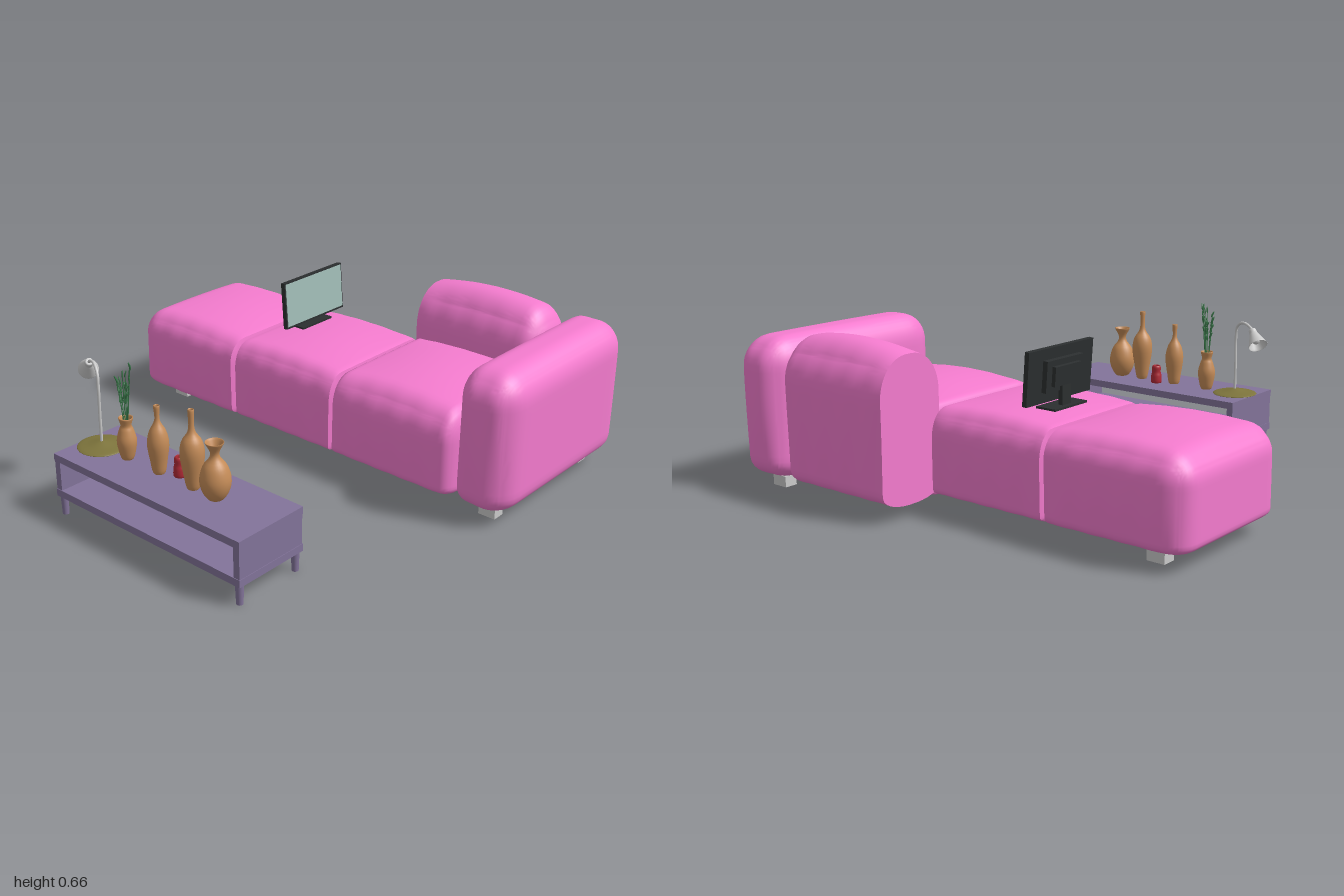
import * as THREE from 'three';
import { toCreasedNormals } from 'three/addons/utils/BufferGeometryUtils.js';

const mat = (color) => new THREE.MeshStandardMaterial({ color, side: THREE.DoubleSide });
const V = (x, y, z) => new THREE.Vector3(x, y, z);

export function createModel() {
  const model = new THREE.Group();
  const pink = mat(0xf57ccf), wood = mat(0x83749a), clay = mat(0xc58c58), grey = mat(0xcccccc);
  const black = mat(0x2c2f30), glass = mat(0xa2bdb8), olive = mat(0x7d743c), red = mat(0xb02a36);
  const green = mat(0x3c7a4c);

  function add(name, geo, material, x = 0, y = 0, z = 0, parent = model) {
    const m = new THREE.Mesh(geo, material);
    m.name = name;
    m.position.set(x, y, z);
    parent.add(m);
    return m;
  }
  const box = (name, w, h, d, material, x, y, z, parent) =>
    add(name, new THREE.BoxGeometry(w, h, d), material, x, y, z, parent);
  const lathe = (name, pts, material, x, y, z, parent) =>
    add(name, new THREE.LatheGeometry(new THREE.SplineCurve(
      pts.map((p) => new THREE.Vector2(...p))).getPoints(32), 28), material, x, y, z, parent);

  // Stuffed block: each side has its own rounding radius (0 leaves it cut flat); crown puffs the top
  function cushion(name, min, max, radii, crown = 0, bulge = 0.01) {
    const geo = new THREE.BoxGeometry(2, 2, 2, 24, 24, 24);
    const pos = geo.attributes.position;
    for (let i = 0; i < pos.count; i++) {
      const u = [pos.getX(i), pos.getY(i), pos.getZ(i)].map((t) => 0.35 * t + 0.65 * Math.sin(t * Math.PI / 2));
      const base = [], d = [], rad = [];
      for (let a = 0; a < 3; a++) {
        const p = min[a] + (u[a] + 1) / 2 * (max[a] - min[a]);
        const lo = min[a] + radii[a][0], hi = max[a] - radii[a][1];
        base[a] = Math.min(Math.max(p, lo), hi);
        rad[a] = p < lo ? radii[a][0] : radii[a][1];
        d[a] = rad[a] > 0 ? (p - base[a]) / rad[a] : 0;
      }
      const len = Math.hypot(...d);
      const k = len > 0 ? Math.max(...d.map(Math.abs)) / len : 0;
      const q = base.map((b, a) => b + d[a] * k * rad[a]);
      const [fx, fy, fz] = u.map((t) => 1 - t * t);
      q[1] += crown * Math.max(u[1], 0) * (0.3 + 0.7 * fx) * fz;
      q[0] += bulge * u[0] * fy * fz + 0.002 * u[0] * Math.sin(q[2] * 50 + q[1] * 8);
      pos.setXYZ(i, ...q);
    }
    geo.deleteAttribute('uv');
    return add(name, toCreasedNormals(geo, 1), pink);
  }

  // Sofa
  cushion('backCushion', [0.04, 0.05, 0.745], [0.925, 0.625, 1],
    [[0.12, 0.12], [0.08, 0.12], [0.09, 0.11]], 0.005, 0.01);
  cushion('armCushion', [0.62, 0.055, 0.155], [0.925, 0.632, 0.75],
    [[0.14, 0.14], [0.06, 0.16], [0, 0.1]], 0.032, 0.008);
  cushion('innerSeat', [0.045, 0.055, 0.152], [0.68, 0.41, 0.75],
    [[0.1, 0.04], [0.04, 0.12], [0.015, 0.05]], 0.035);
  cushion('middleSeat', [0.05, 0.06, -0.398], [0.68, 0.405, 0.15],
    [[0.08, 0.08], [0.03, 0.11], [0.012, 0.012]], 0.025);
  cushion('endSeat', [0.045, 0.055, -1], [0.685, 0.405, -0.402],
    [[0.09, 0.09], [0.04, 0.1], [0.1, 0.012]], 0.03);
  for (const [x, z] of [[0.17, 0.87], [0.8, 0.87], [0.17, -0.835], [0.57, -0.835]]) {
    box('sofaLeg', 0.056, 0.045, 0.075, grey, x, 0.0225, z);
    box('sofaLegCap', 0.046, 0.03, 0.064, grey, x, 0.06, z);
  }

  // Low console open along both long sides
  const table = new THREE.Group();
  table.name = 'console';
  model.add(table);
  const tx = -0.782, tz = 0.1;
  box('consoleTop', 0.327, 0.03, 0.98, wood, tx, 0.247, tz, table);
  box('consoleBottom', 0.327, 0.03, 0.98, wood, tx, 0.095, tz, table);
  for (const s of [-1, 1]) {
    box('consoleEnd', 0.323, 0.122, 0.028, wood, tx, 0.171, tz + s * 0.474, table);
    for (const t of [-1, 1])
      add('consoleLeg', new THREE.CylinderGeometry(0.016, 0.013, 0.082, 16), wood,
        tx + t * 0.144, 0.041, tz + s * 0.47, table);
  }

  // Vases and cup
  const top = 0.262;
  lathe('squatVase', [[0, 0], [0.026, 0], [0.05, 0.035], [0.058, 0.08], [0.045, 0.13], [0.02, 0.165],
    [0.018, 0.19], [0.034, 0.222], [0.03, 0.222], [0.013, 0.185]], clay, tx, top, 0.32);
  lathe('tallVase', [[0, 0], [0.022, 0], [0.035, 0.06], [0.046, 0.14], [0.038, 0.19], [0.016, 0.225],
    [0.01, 0.26], [0.012, 0.31], [0.008, 0.31], [0.006, 0.25]], clay, tx, top, 0.205);
  lathe('slimVase', [[0, 0], [0.022, 0], [0.032, 0.05], [0.041, 0.12], [0.032, 0.17], [0.014, 0.205],
    [0.009, 0.23], [0.012, 0.27], [0.008, 0.27], [0.006, 0.22]], clay, tx, top, 0.025);
  lathe('plantVase', [[0, 0], [0.022, 0], [0.034, 0.04], [0.038, 0.08], [0.028, 0.12], [0.021, 0.14],
    [0.028, 0.168], [0.023, 0.168], [0.015, 0.14]], clay, tx, top, -0.15);
  lathe('redCup', [[0, 0], [0.023, 0], [0.024, 0.03], [0.02, 0.05], [0.02, 0.072], [0.014, 0.08],
    [0.012, 0.06]], red, -0.748, top, 0.1);

  // Grass stems with small leaves
  for (let i = 0; i < 9; i++) {
    const a = i * 2.4, r = 0.012 + 0.003 * (i % 5), h = 0.56 + 0.02 * ((i * 3) % 5);
    const c = Math.cos(a), s = Math.sin(a);
    const path = new THREE.QuadraticBezierCurve3(V(tx + c * 0.006, 0.36, -0.15 + s * 0.006),
      V(tx + c * 0.012, 0.48, -0.15 + s * 0.012), V(tx + c * r * 1.3, h, -0.15 + s * r * 1.3));
    add('grassStem', new THREE.TubeGeometry(path, 8, 0.0018, 5), green);
    for (let j = 0; j < 3; j++) {
      const p = path.getPoint(0.65 + j * 0.17);
      const leaf = add('grassLeaf', new THREE.SphereGeometry(1, 6, 5), green, p.x, p.y, p.z);
      leaf.scale.set(0.004, 0.016, 0.003);
      leaf.rotation.set(s * 0.4, a + j, -c * 0.4);
    }
  }

  // Gooseneck desk lamp
  lathe('lampBase', [[0, 0], [0.088, 0], [0.088, 0.006], [0.05, 0.013], [0.012, 0.022], [0, 0.024]],
    olive, tx, top, -0.3);
  const neck = new THREE.CatmullRomCurve3([V(tx, 0.27, -0.3), V(tx, 0.4, -0.3), V(tx, 0.51, -0.298),
    V(-0.775, 0.565, -0.308), V(-0.757, 0.588, -0.345), V(-0.738, 0.58, -0.39), V(-0.725, 0.56, -0.42)]);
  add('lampNeck', new THREE.TubeGeometry(neck, 40, 0.006, 10), grey);
  const shade = lathe('lampShade', [[0, 0], [0.015, 0], [0.017, 0.02], [0.022, 0.032], [0.04, 0.08],
    [0.037, 0.08], [0.019, 0.034]], grey, -0.728, 0.568, -0.41);
  shade.quaternion.setFromUnitVectors(V(0, 1, 0), V(0.42, -0.68, -0.62).normalize());
  add('lampBulb', new THREE.SphereGeometry(0.018, 14, 10), grey, -0.705, 0.53, -0.443);

  // Monitor standing on the middle seat
  const monitor = new THREE.Group();
  monitor.name = 'monitor';
  monitor.position.set(0.415, 0.56, -0.262);
  monitor.rotation.x = -0.08;
  model.add(monitor);
  box('monitorFrame', 0.375, 0.205, 0.02, black, 0, 0, 0, monitor);
  box('monitorScreen', 0.363, 0.19, 0.004, glass, 0, 0.002, 0.0105, monitor);
  box('monitorBack', 0.21, 0.12, 0.022, black, 0, 0, -0.02, monitor);
  box('monitorMount', 0.15, 0.075, 0.018, black, 0, 0, -0.038, monitor);
  box('monitorNeck', 0.05, 0.13, 0.018, black, 0.415, 0.5, -0.292);
  box('monitorBase', 0.19, 0.008, 0.09, black, 0.415, 0.438, -0.278);
  return model;
}
